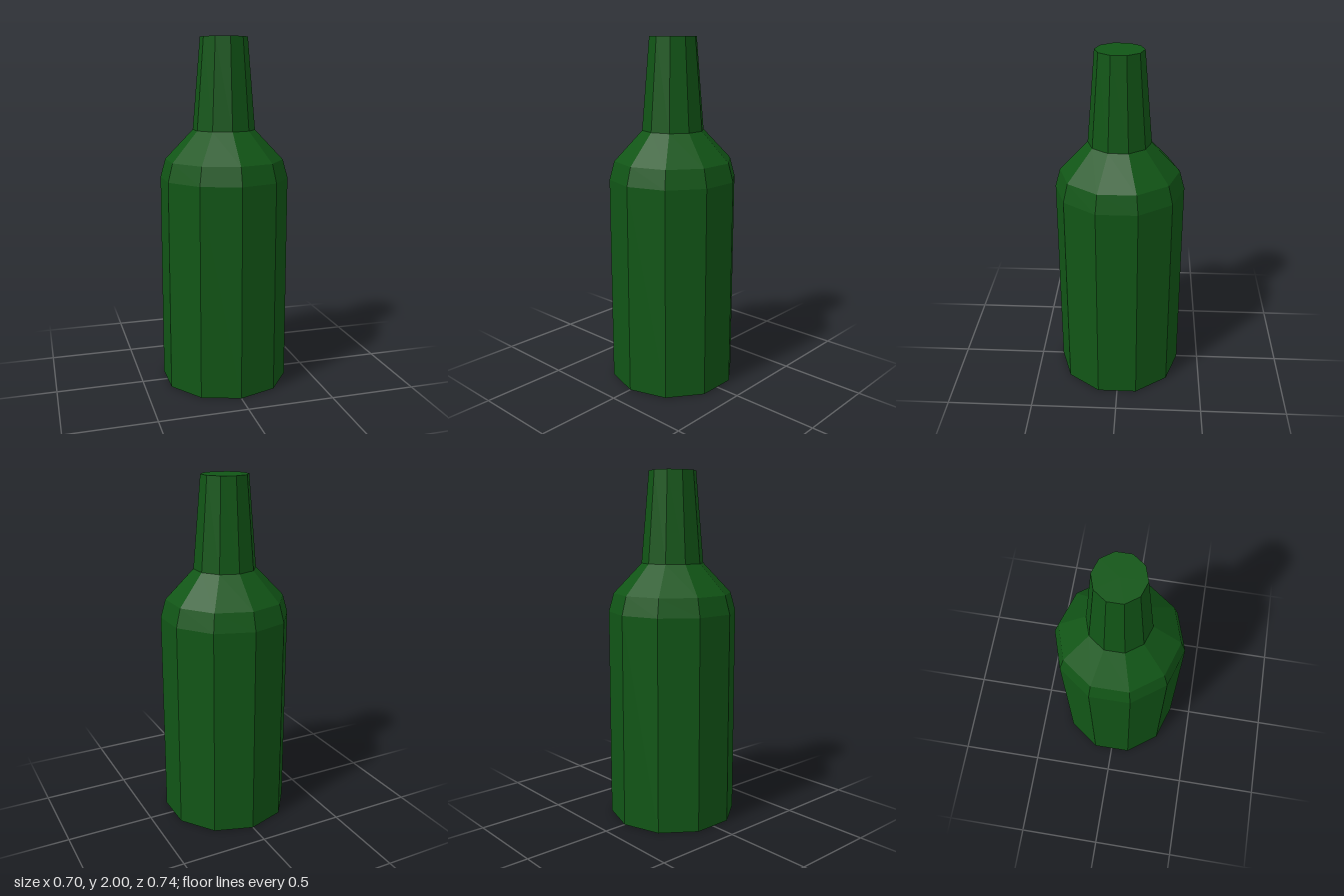
import * as THREE from 'three';

const SIDES = 10;

export function createModel() {
  const bottle = new THREE.Group();
  bottle.name = 'bottle';
  const glass = new THREE.MeshStandardMaterial({ color: 0x115516, flatShading: true });

  // Turns a [radius, height] profile, listed from bottom to top, into a faceted part
  const addTurned = (name, profile) => {
    const points = profile.map(([r, y]) => new THREE.Vector2(r, y));
    const mesh = new THREE.Mesh(new THREE.LatheGeometry(points, SIDES), glass);
    mesh.name = name;
    bottle.add(mesh);
  };

  // Straight body with closed base
  addTurned('body', [[0, 0], [0.368, 0], [0.368, 1.21]]);
  // Two-step shoulder
  addTurned('shoulder', [[0.368, 1.21], [0.339, 1.315], [0.178, 1.485]]);
  // Tapered neck with flat closed top
  addTurned('neck', [[0.178, 1.485], [0.134, 2], [0, 2]]);

  return bottle;
}
